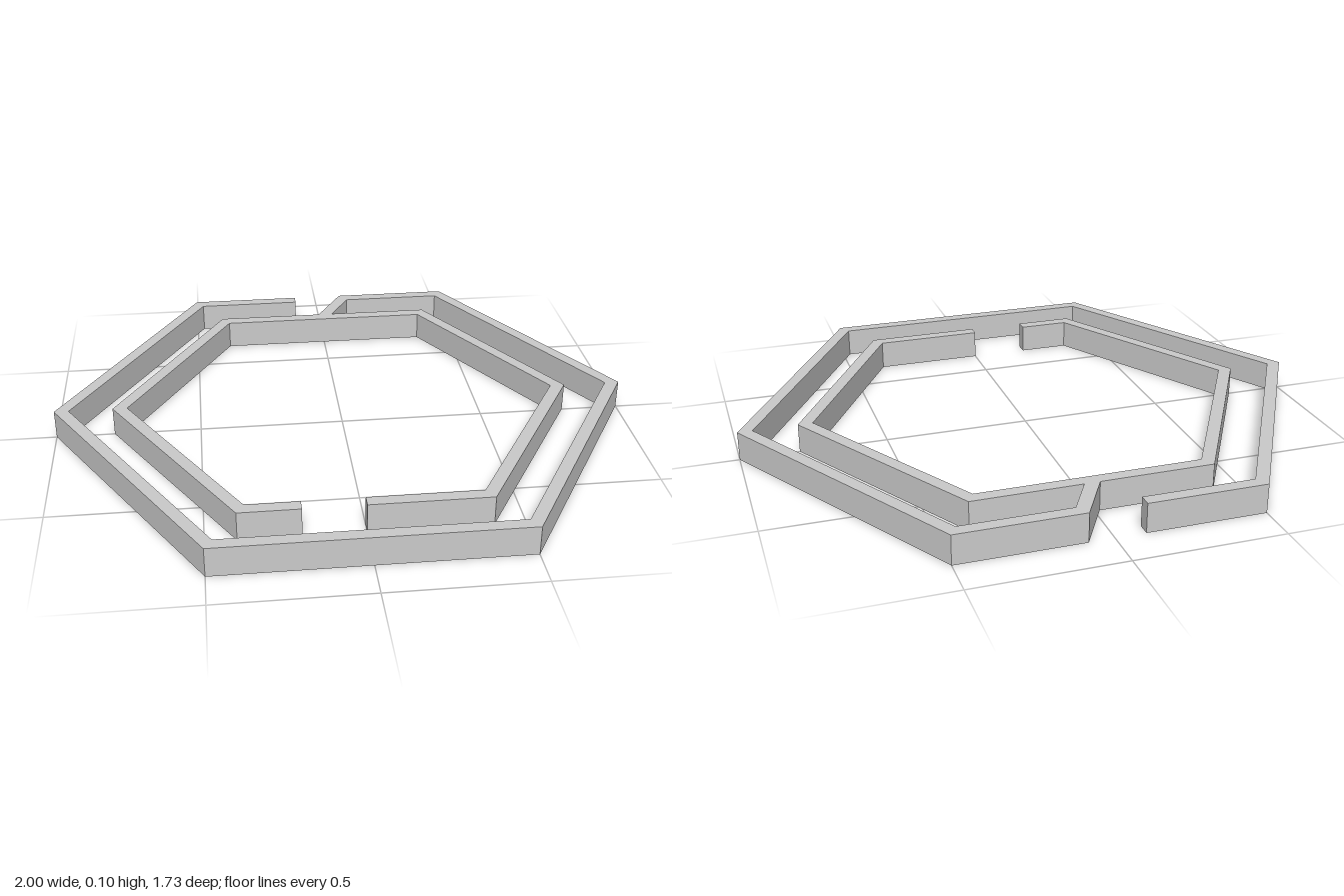
import * as THREE from 'three';

const HEIGHT = 0.1;
const S = Math.sin(Math.PI / 3); // apothem of a unit hexagon

// Hexagon corners of radius r at the given angles in degrees
const corners = (r, ...angles) => angles.map((a) => {
  const t = THREE.MathUtils.degToRad(a);
  return new THREE.Vector2(r * Math.cos(t), r * Math.sin(t));
});

// Point on the back (side = 1) or front (side = -1) edge of a hexagon of radius r
const onEdge = (x, r, side) => new THREE.Vector2(x, side * r * S);

export function createModel() {
  const group = new THREE.Group();
  group.name = 'splitHexagonRings';

  // One continuous wall: outer ring, slanted link, inner ring (plan y is towards the back)
  const outline = [
    // outer ring, outside face
    onEdge(-0.1, 1, 1), ...corners(1, 120, 180, 240, 300, 0, 60), onEdge(0.083, 1, 1),
    // link, then left half of inner ring, outside face
    onEdge(-0.017, 0.8, 1), ...corners(0.8, 120, 180, 240), onEdge(-0.2, 0.8, -1),
    // inner ring, inside face from gap to gap
    onEdge(-0.2, 0.75, -1), ...corners(0.75, 240, 180, 120, 60, 0, 300), onEdge(0, 0.75, -1),
    // right half of inner ring, outside face, back to the link
    onEdge(0, 0.8, -1), ...corners(0.8, 300, 0, 60), onEdge(0.035, 0.8, 1),
    // outer ring, inside face
    onEdge(0.11, 0.95, 1), ...corners(0.95, 60, 0, 300, 240, 180, 120), onEdge(-0.1, 0.95, 1),
  ];

  const geometry = new THREE.ExtrudeGeometry(new THREE.Shape(outline), {
    depth: HEIGHT,
    bevelEnabled: false,
  });
  geometry.rotateX(-Math.PI / 2); // lay flat with the base on y = 0

  const rings = new THREE.Mesh(
    geometry,
    new THREE.MeshStandardMaterial({ color: 0xcccccc, flatShading: true }),
  );
  rings.name = 'linkedRings';
  group.add(rings);
  return group;
}
